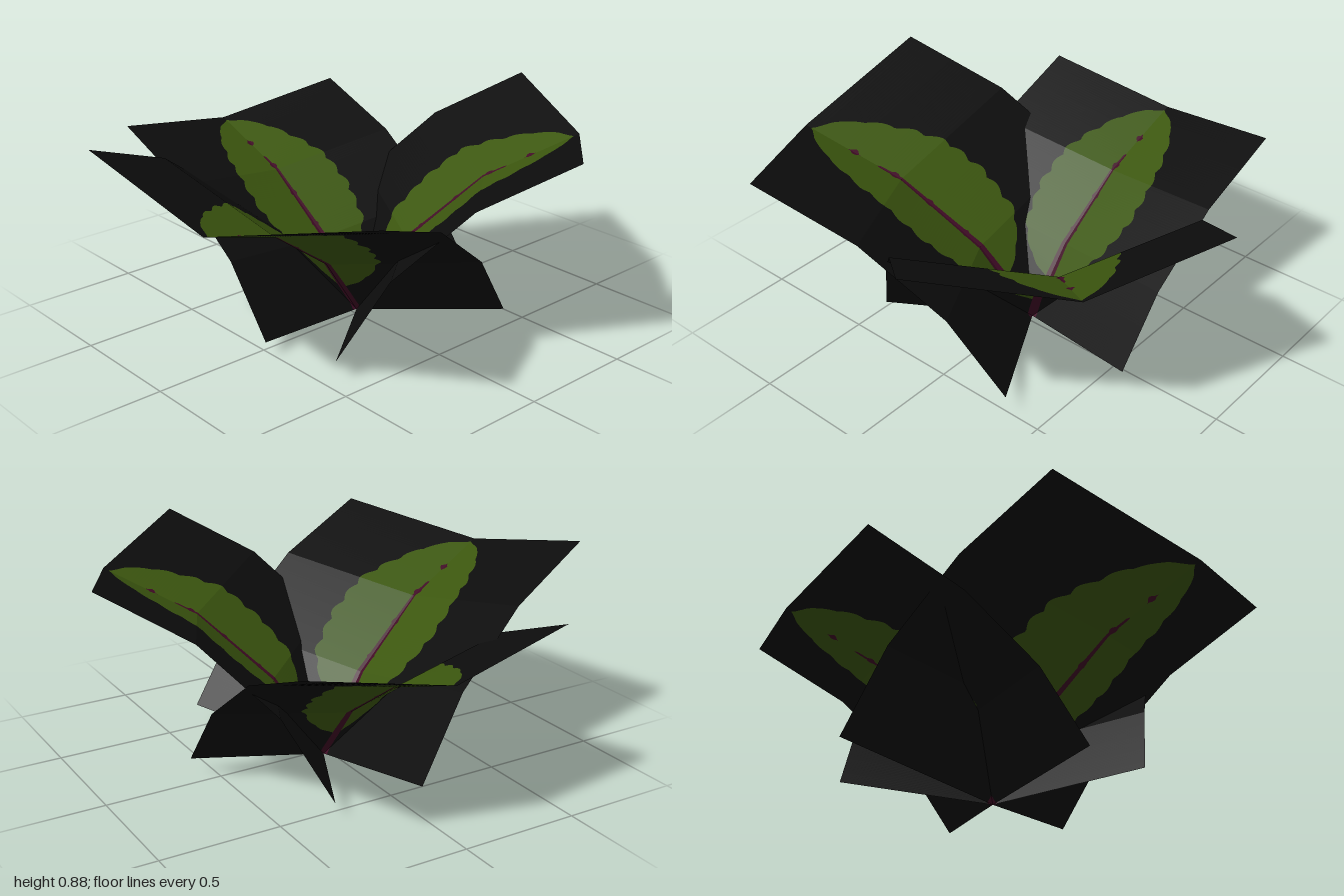
import * as THREE from 'three';

const V = (x, y, z) => new THREE.Vector3(x, y, z);
const material = (name, color) => {
  const m = new THREE.MeshStandardMaterial({ color, side: THREE.DoubleSide, flatShading: true });
  m.name = name;
  return m;
};

// Piecewise-linear lookup in a list of [u, value] points
function lookup(points, u) {
  if (u <= points[0][0]) return points[0][1];
  for (let i = 1; i < points.length; i++) {
    const [a, p] = points[i - 1], [b, q] = points[i];
    if (u <= b) return p + (q - p) * (u - a) / (b - a);
  }
  return points[points.length - 1][1];
}

// Arching midrib: steep at the base, flatter towards the tip
const REACH = [[0, 0], [1 / 3, 0.23], [2 / 3, 0.575], [1, 1]];
const RISE = [[0, 0], [1 / 3, 0.42], [2 / 3, 0.77], [1, 1]];
// Half widths as fractions of the card's half width
const BLADE = [[0.17, 0], [0.2, 0.13], [0.25, 0.24], [0.35, 0.37], [0.5, 0.44],
  [0.65, 0.425], [0.75, 0.37], [0.87, 0.26], [0.95, 0.12], [0.978, 0]];
const STEM = [[0, 0.036], [0.2, 0.034], [0.4, 0.022], [0.74, 0.01], [0.75, 0]];
const NODES = [0.27, 0.4, 0.55, 0.69, 0.83];

function stemWidth(u) {
  let w = lookup(STEM, u);
  for (const n of NODES) w = Math.max(w, 0.035 * (1 - Math.abs(u - n) / 0.016));
  return w;
}

// Scalloped leaf outline
function bladeWidth(u) {
  const w = lookup(BLADE, u);
  return Math.max(0, w * (0.94 + 0.08 * Math.abs(Math.sin(u * Math.PI * 12.5))));
}

const ROOT = V(-0.03, 0, -0.03);
const ROWS = 108; // multiple of three, so the folds fall on rows

// Point on a folded card: u runs along the midrib, v across it from -1 to 1
function cardPoint(card, u, v) {
  const p = V(
    ROOT.x + (card.tip.x - ROOT.x) * lookup(REACH, u),
    card.tip.y * lookup(RISE, u),
    ROOT.z + (card.tip.z - ROOT.z) * lookup(REACH, u));
  const fold = card.foldBase.clone().lerp(card.foldTip, u);
  return p.addScaledVector(fold, Math.abs(v)).addScaledVector(card.half, v);
}

// Strip between two width rules, on both sides of the midrib
function strip(card, inner, outer) {
  const pos = [];
  for (let i = 0; i < ROWS; i++) {
    const u0 = i / ROWS, u1 = (i + 1) / ROWS;
    if (outer(u0) - inner(u0) < 1e-6 && outer(u1) - inner(u1) < 1e-6) continue;
    for (const s of [-1, 1]) {
      const a = cardPoint(card, u0, s * inner(u0)), b = cardPoint(card, u0, s * outer(u0));
      const c = cardPoint(card, u1, s * outer(u1)), d = cardPoint(card, u1, s * inner(u1));
      const quad = s > 0 ? [a, b, c, a, c, d] : [a, c, b, a, d, c];
      for (const p of quad) pos.push(p.x, p.y, p.z);
    }
  }
  const g = new THREE.BufferGeometry();
  g.setAttribute('position', new THREE.Float32BufferAttribute(pos, 3));
  g.computeVertexNormals();
  return g;
}

export function createModel() {
  const black = material('black card', 0x0d0d0d);
  const green = material('leaf green', 0x3c570f);
  const purple = material('stem purple', 0x400a25);

  const cards = [
    { name: 'rightLeaf', tip: V(-0.96, 0.64, -0.04), half: V(-0.01, 0, 0.565),
      foldBase: V(0.1, 0.07, 0), foldTip: V(0.09, 0.1, 0) },
    { name: 'frontLeaf', tip: V(0.29, 0.72, 0.97), half: V(0.62, -0.02, -0.175),
      foldBase: V(-0.07, 0.115, -0.15), foldTip: V(-0.06, 0.13, -0.145) },
    { name: 'backLeaf', tip: V(0.55, 0.78, -0.74), half: V(0.48, 0, 0.375),
      foldBase: V(-0.07, 0.08, 0.1), foldTip: V(-0.07, 0.095, 0.115) },
  ];

  const zero = () => 0, one = () => 1;
  const leafEdge = (u) => Math.max(bladeWidth(u), stemWidth(u));

  const model = new THREE.Group();
  model.name = 'threeLeafPlant';
  for (const card of cards) {
    const leaf = new THREE.Group();
    leaf.name = card.name;
    const add = (name, inner, outer, mat) => {
      const mesh = new THREE.Mesh(strip(card, inner, outer), mat);
      mesh.name = name;
      leaf.add(mesh);
    };
    add('stem', zero, stemWidth, purple);
    add('blade', stemWidth, leafEdge, green);
    add('backing', leafEdge, one, black);
    model.add(leaf);
  }
  return model;
}
